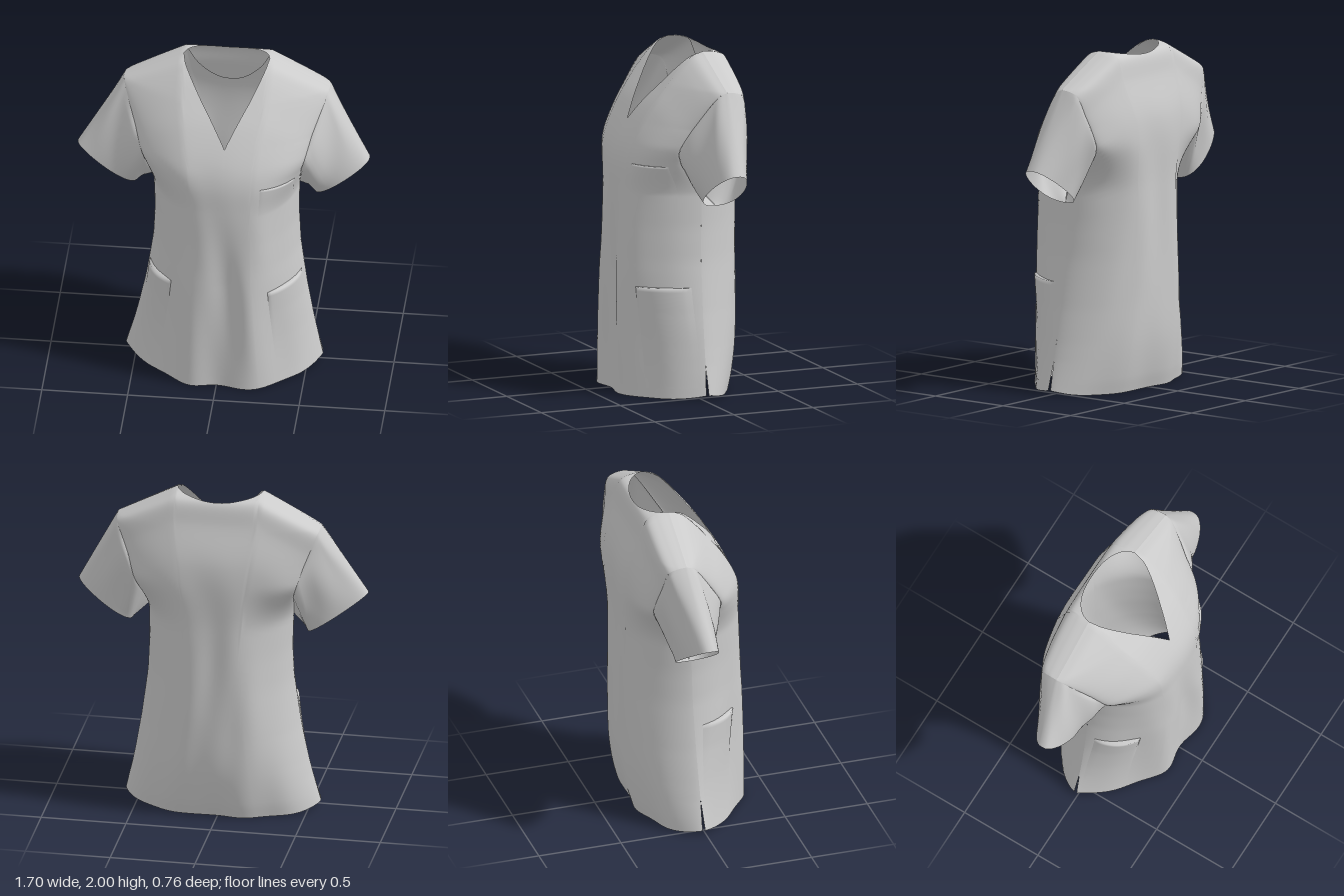
import * as THREE from 'three';

const cloth = new THREE.MeshStandardMaterial({ color: 0xcccccc, side: THREE.DoubleSide, roughness: 0.9 });
const NECK = 0.417; // neck half width as a fraction of the shoulder half width
const V_TIP = 0.05; // the V sits slightly off centre
const { lerp, clamp, smoothstep } = THREE.MathUtils;

const curve = (pts) => new THREE.CatmullRomCurve3(pts.map(([y, z]) => new THREE.Vector3(0, y, z)));

// Centre-line profiles [y, z] from hem to shoulder ridge
const frontProfile = curve([[0, 0.365], [0.4, 0.365], [0.8, 0.362], [1.2, 0.354], [1.38, 0.338], [1.5, 0.3],
  [1.68, 0.2], [1.8, 0.11], [1.93, 0], [1.98, -0.06], [2, -0.125]]);
const backProfile = curve([[0, -0.293], [0.1, -0.322], [0.3, -0.357], [0.6, -0.373], [1.2, -0.377], [1.6, -0.373],
  [1.83, -0.307], [1.965, -0.266], [1.993, -0.2], [2, -0.125]]);

// Half width of the torso by height
const widths = [[0, 0.575], [0.3, 0.51], [0.5, 0.472], [0.65, 0.45], [0.8, 0.43], [1, 0.421], [1.2, 0.425],
  [1.4, 0.455], [1.6, 0.515], [1.82, 0.6], [2.1, 0.6]];
function halfWidth(y) {
  let i = 0;
  while (i < widths.length - 2 && y > widths[i + 1][0]) i++;
  const [y0, w0] = widths[i], [y1, w1] = widths[i + 1];
  return lerp(w0, w1, clamp((y - y0) / (y1 - y0), 0, 1));
}

const shoulderY = (u) => lerp(2, 1.82, clamp((Math.abs(u) - NECK) / (1 - NECK), 0, 1));

// Bisection for the curve parameter where test(point) turns true
function solve(profile, test) {
  let a = 0, b = 1;
  for (let i = 0; i < 24; i++) {
    const m = (a + b) / 2;
    if (test(profile.getPoint(m))) b = m; else a = m;
  }
  return b;
}

// Point on the front (side 1) or back (side -1) panel: u across, t up the profile
function panelPoint(side, u, t) {
  const p = (side > 0 ? frontProfile : backProfile).getPoint(t);
  const a = Math.abs(u), y = p.y * shoulderY(u) / 2;
  const x = u * halfWidth(y) + 0.012 + 0.013 * Math.sin(Math.PI * clamp(y / 1.6, 0, 1));
  const seamZ = lerp(-0.015, -0.04, y / 1.2) - 0.085 * smoothstep(p.y, 1.3, 2);
  const edge = (side > 0 ? 0.65 : 0.74) * smoothstep(y, 1.19, 1.5);
  // the front is fuller on its left and flattens into a wedge towards the hem
  const skew = side > 0 ? 0.07 * (1 - u * u) * (1 - smoothstep(y, 1.3, 1.7)) : 0;
  const power = side > 0 ? lerp(0.95, 0.6, smoothstep(y, 0, 0.8)) : 0.68;
  const round = Math.pow(Math.max(0, 1 - Math.pow(Math.abs(u - skew), 2.6)), power);
  let z = seamZ + (p.z - seamZ) * (edge + (1 - edge) * round);
  // drape folds
  const hang = clamp((1.5 - y) / 0.8, 0, 1);
  z += side * round * hang * ((side > 0 ? -0.021 : -0.008) * Math.cos((x - 0.03) * 17) + 0.003 * Math.sin(15 * u + 5 * y));
  z += 0.004 * round * (1 - smoothstep(y, 1.4, 1.8)) * Math.sin(9 * u - 4 * y);
  // side slits and the hem rising towards them
  z += side * 0.008 * clamp(1 - y / 0.2, 0, 1) * Math.pow(a, 20);
  const lift = 0.03 * Math.pow(a, 9) * clamp(1 - y / 0.2, 0, 1);
  return new THREE.Vector3(x, y + lift, z);
}

// Where each column of a panel stops: shoulder ridge or neckline
function columnEnd(side, u) {
  if (Math.abs(u) >= NECK) return 1;
  if (side > 0) {
    const k = u < V_TIP ? (V_TIP - u) / (V_TIP + NECK) : (u - V_TIP) / (NECK - V_TIP);
    return solve(frontProfile, (p) => p.y >= 1.595 + 0.405 * k);
  }
  const z = -0.125 - 0.14 * Math.pow(1 - Math.pow(Math.abs(u) / NECK, 2.3), 0.55);
  return solve(backProfile, (p) => p.y > 1.8 && p.z >= z);
}

const heightParam = (side, u, y) =>
  solve(side > 0 ? frontProfile : backProfile, (p) => p.y * shoulderY(u) / 2 >= y);

// Smooth surface through a grid of points fn(i, j)
function sheet(name, ni, nj, fn) {
  const pos = [], index = [];
  for (let j = 0; j <= nj; j++) for (let i = 0; i <= ni; i++) pos.push(...fn(i, j).toArray());
  for (let j = 0; j < nj; j++) for (let i = 0; i < ni; i++) {
    const a = j * (ni + 1) + i, b = a + 1, c = a + ni + 1, d = c + 1;
    index.push(a, b, d, a, d, c);
  }
  const g = new THREE.BufferGeometry();
  g.setAttribute('position', new THREE.Float32BufferAttribute(pos, 3));
  g.setIndex(index);
  g.computeVertexNormals();
  const mesh = new THREE.Mesh(g, cloth);
  mesh.name = name;
  return mesh;
}

// Columns land exactly on the neck corners and the V tip, denser at the sides
function columns() {
  const n = 18, us = [];
  const outer = (k) => NECK + (1 - NECK) * Math.sin(k * Math.PI / 2);
  for (let i = n; i > 0; i--) us.push(-outer(i / n));
  for (let i = 0; i < n; i++) us.push(lerp(-NECK, V_TIP, i / n));
  for (let i = 0; i < n; i++) us.push(lerp(V_TIP, NECK, i / n));
  for (let i = 0; i <= n; i++) us.push(outer(i / n));
  return us;
}

function panel(name, side) {
  const us = columns(), rows = 100;
  if (side < 0) us.reverse(); // keeps the back facing outwards
  const ends = us.map((u) => columnEnd(side, u));
  return sheet(name, us.length - 1, rows, (i, j) => panelPoint(side, us[i], ends[i] * j / rows));
}

// Sleeve lofted from the armhole edge to a boxy cuff that narrows towards its top
function sleeve(name, s, top, bottom, narrowing, puff) {
  const n = 56, rings = 20, armpit = 1.21;
  const tf = heightParam(1, s, armpit), tb = heightParam(-1, s, armpit);
  const mid = top.clone().add(bottom).multiplyScalar(0.5), half = top.clone().sub(bottom).multiplyScalar(0.5);
  return sheet(name, n, rings, (i, j) => {
    const k = i / n, v = j / rings, a = k * Math.PI * 2, sin = Math.sin(a);
    const root = k <= 0.5 ? panelPoint(1, s, lerp(tf, 1, k * 2)) : panelPoint(-1, s, lerp(1, tb, k * 2 - 1));
    const cuff = mid.clone().addScaledVector(half, -Math.cos(a));
    cuff.z += 0.135 * (1 - narrowing * (1 - Math.cos(a)) / 2) * Math.sign(sin) * Math.pow(Math.abs(sin), 0.8);
    const p = root.lerp(cuff, v);
    // slight fullness and creases near the armhole
    p.z += Math.sin(Math.PI * Math.sqrt(v)) * sin * (puff + 0.008 * Math.sin(a * 5 + v * 4));
    return p;
  });
}

// Patch pocket on the front: slightly lifted, with a lip folding back at the top
function pocket(name, u0, u1, y0, y1, lift) {
  const n = 20, rows = 24;
  return sheet(name, n, rows + 1, (i, j) => {
    const s = i / n, v = Math.min(j, rows) / rows, u = lerp(u0, u1, s), bend = Math.pow(Math.abs(u), 3);
    const p = panelPoint(1, u, heightParam(1, u, lerp(y0, y1, v)));
    const off = j > rows ? -0.004 : 0.002 + lift * v * v * Math.sqrt(Math.max(0, Math.sin(Math.PI * s)));
    const out = new THREE.Vector3(Math.sign(u) * bend, 0, 1 - 0.6 * bend).normalize();
    return p.addScaledVector(out, off);
  });
}

// Curved facing inside the back neck
function neckFacing() {
  const n = 28, rows = 12;
  return sheet('backNeckFacing', n, rows, (i, j) => {
    const u = lerp(-0.4, 0.4, i / n), end = columnEnd(-1, u);
    const low = heightParam(-1, u, 1.69 + 0.24 * Math.pow(Math.abs(u) / 0.4, 2.4));
    const p = panelPoint(-1, u, lerp(Math.min(low, end), end, j / rows));
    p.z += 0.01 * (1 - j / rows) + 0.001;
    return p;
  });
}

export function createModel() {
  const model = new THREE.Group();
  model.name = 'vNeckTunic';
  model.add(
    panel('frontPanel', 1),
    panel('backPanel', -1),
    sleeve('leftSleeve', 1, new THREE.Vector3(0.85, 1.37, -0.09), new THREE.Vector3(0.53, 1.14, -0.09), 0.28, 0.018),
    sleeve('rightSleeve', -1, new THREE.Vector3(-0.85, 1.385, -0.065), new THREE.Vector3(-0.5, 1.14, -0.09), 0.4, 0.01),
    pocket('leftLowerPocket', 0.6, 0.98, 0.06, 0.65, 0.024),
    pocket('rightLowerPocket', -0.98, -0.66, 0.06, 0.65, 0.026),
    pocket('chestPocket', 0.52, 0.93, 1.08, 1.37, 0.01),
    neckFacing(),
  );
  return model;
}
